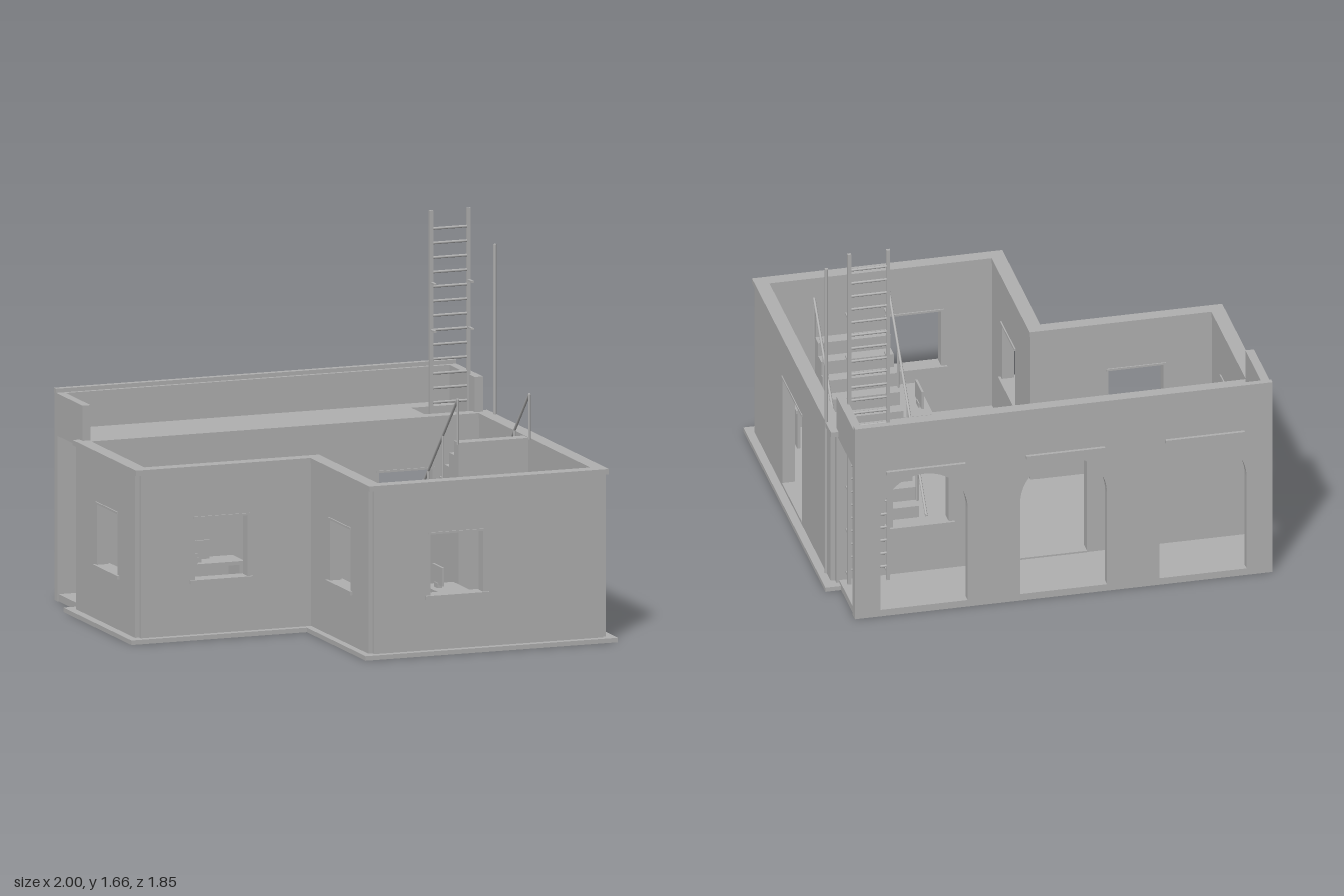
import * as THREE from 'three';

const T = 0.055; // wall thickness
const plaster = new THREE.MeshStandardMaterial({ color: 0xb0b0b0 });
plaster.name = 'grey plaster';

function add(parent, name, geo) {
  const m = new THREE.Mesh(geo, plaster);
  m.name = name;
  parent.add(m);
  return m;
}

// Box given by its limits on each axis
function box(parent, name, x0, x1, y0, y1, z0, z1) {
  const m = add(parent, name, new THREE.BoxGeometry(x1 - x0, y1 - y0, z1 - z0));
  m.position.set((x0 + x1) / 2, (y0 + y1) / 2, (z0 + z1) / 2);
  return m;
}

// Round bar between two points
function bar(parent, name, a, b, r) {
  const p = new THREE.Vector3(...a), q = new THREE.Vector3(...b);
  const d = q.clone().sub(p);
  const m = add(parent, name, new THREE.CylinderGeometry(r, r, d.length(), 8));
  m.position.copy(p).add(q).multiplyScalar(0.5);
  m.quaternion.setFromUnitVectors(new THREE.Vector3(0, 1, 0), d.normalize());
  return m;
}

const poly = (pts, Kind = THREE.Shape) => new Kind(pts.map(p => new THREE.Vector2(...p)));
const rect = (x0, x1, y0, y1) => [[x0, y0], [x1, y0], [x1, y1], [x0, y1]];
const extrude = (shape, depth) =>
  new THREE.ExtrudeGeometry(shape, { depth, bevelEnabled: false, curveSegments: 16 });

// Flat plan shape (drawn with y = -z) raised from y0 to y1
function slab(parent, name, shape, y0, y1) {
  const m = add(parent, name, extrude(shape, y1 - y0).rotateX(-Math.PI / 2));
  m.position.y = y0;
  return m;
}

// L-shaped plan
const planL = (xl, xr, xn, zb, zn, zf) =>
  [[xl, -zn], [xn, -zn], [xn, -zf], [xr, -zf], [xr, -zb], [xl, -zb]];

// Wall panel along u with windows and doors, plus sills and lintels
function wall(parent, name, u0, u1, windows, doors) {
  const g = new THREE.Group();
  g.name = name;
  const s = poly(rect(u0, u1, 0.02, 0.742));
  for (const [a, b] of windows) {
    s.holes.push(poly(rect(a, b, 0.262, 0.535), THREE.Path));
    box(g, 'windowSill', a - 0.025, b + 0.025, 0.245, 0.262, -0.012, T + 0.012);
    box(g, 'windowLintel', a - 0.01, b + 0.01, 0.533, 0.542, -0.006, T + 0.006);
  }
  for (const [a, b] of doors) {
    s.holes.push(poly(rect(a, b, 0.037, 0.56), THREE.Path));
    box(g, 'doorLintel', a - 0.01, b + 0.01, 0.557, 0.566, -0.004, T + 0.004);
    box(g, 'doorThreshold', a, b, 0.03, 0.04, -0.003, T + 0.003);
  }
  add(g, 'wallPanel', extrude(s, T));
  parent.add(g);
  return g;
}

function wallX(parent, name, z0, ...rest) {
  wall(parent, name, ...rest).position.z = z0;
}
function wallZ(parent, name, xMax, ...rest) {
  const g = wall(parent, name, ...rest);
  g.rotation.y = -Math.PI / 2;
  g.position.x = xMax;
}

function buildHouse(root) {
  slab(root, 'baseSlab', poly(planL(-1, 1, -0.18, -0.603, 0.215, 0.923)), 0, 0.02);
  slab(root, 'floor', poly(planL(-0.943, 0.943, -0.13, -0.55, 0.165, 0.872)), 0.02, 0.037);

  wallX(root, 'frontWall', 0.836, -0.128, 0.943, [[0.135, 0.38]], []);
  wallX(root, 'wingFrontWall', 0.128, -0.943, -0.12, [[-0.69, -0.445]], []);
  wallX(root, 'backWall', -0.57, -0.943, 0.943, [[0.44, 0.69]], [[-0.18, 0.175]]);
  wallZ(root, 'rightWall', 0.963, -0.545, 0.872, [], [[-0.01, 0.347]]);
  wallZ(root, 'leftWall', -0.908, -0.545, 0.163, [[-0.295, -0.05]], []);
  wallZ(root, 'notchWall', -0.093, 0.13, 0.872, [[0.41, 0.655]], []);

  const coping = poly(planL(-0.968, 0.968, -0.153, -0.573, 0.188, 0.896));
  coping.holes.push(poly(planL(-0.905, 0.905, -0.09, -0.514, 0.127, 0.833), THREE.Path));
  slab(root, 'coping', coping, 0.742, 0.766);
}

function buildPorch(root) {
  const porch = new THREE.Group();
  porch.name = 'porch';
  root.add(porch);
  box(porch, 'porchFloor', -0.93, 0.93, 0, 0.032, -0.876, -0.56);

  // Arcade with three round arches
  const s = poly(rect(-0.935, 0.935, 0, 0.922));
  for (const cx of [-0.625, 0, 0.625]) {
    const r = 0.195, h = new THREE.Path();
    h.moveTo(cx - r, 0.032);
    h.lineTo(cx + r, 0.032);
    h.lineTo(cx + r, 0.485);
    h.absarc(cx, 0.485, r, 0, Math.PI, false);
    h.lineTo(cx - r, 0.032);
    s.holes.push(h);
    box(porch, 'wallBar', cx - 0.177, cx + 0.177, 0.715, 0.73, -0.923, -0.908);
  }
  add(porch, 'arcade', extrude(s, 0.04)).position.z = -0.88;
  box(porch, 'arcadeCoping', -0.935, 0.935, 0.92, 0.94, -0.886, -0.858);

  // Roof with a hatch for the ladder
  const roof = poly(rect(-0.93, 0.93, 0.565, 0.86));
  roof.holes.push(poly(rect(0.68, 0.897, 0.575, 0.743), THREE.Path));
  slab(porch, 'porchRoof', roof, 0.734, 0.764);
  for (const sx of [-1, 1]) {
    const m = box(porch, 'sideParapet', 0.897, 0.935, 0.734, 0.922, -0.879, -0.539);
    m.position.x *= sx;
  }
}

function buildLadder(root) {
  const g = new THREE.Group();
  g.name = 'ladder';
  root.add(g);
  for (const x of [0.722, 0.896]) {
    box(g, 'ladderRail', x - 0.008, x + 0.008, 0.03, 1.66, -0.62, -0.606);
    for (const y of [0.07, 0.28, 0.49, 0.71, 1.13, 1.34])
      box(g, 'ladderBracket', x - 0.006, x + 0.006, y - 0.004, y + 0.004, -0.613, -0.56);
  }
  for (let y = 0.1; y < 1.62; y += 0.0643)
    bar(g, 'rung', [0.722, y, -0.613], [0.896, y, -0.613], 0.006);
  bar(root, 'mast', [0.963, 0.02, -0.467], [0.963, 1.52, -0.467], 0.008);
}

function buildStairs(root) {
  const g = new THREE.Group();
  g.name = 'stairs';
  root.add(g);
  const n = 12, z0 = -0.455, run = 0.0585, y0 = 0.037, rise = 0.0633;
  const pts = [[z0, y0]];
  for (let i = 0; i < n; i++)
    pts.push([z0 + i * run, y0 + (i + 1) * rise], [z0 + (i + 1) * run, y0 + (i + 1) * rise]);
  pts.push([z0 + n * run, y0]);
  const steps = add(g, 'steps', extrude(poly(pts), 0.325));
  steps.rotation.y = -Math.PI / 2;
  steps.position.x = 0.842;

  // Handrails on both sides
  const railY = z => 0.99 + (z - 0.247) * 1.075;
  for (const x of [0.512, 0.846]) {
    bar(g, 'handrail', [x, railY(-0.45), -0.45], [x, 0.99, 0.247], 0.006);
    for (const z of [0.247, 0.07, -0.105, -0.28, -0.45])
      bar(g, 'railPost', [x, railY(z) - 0.2, z], [x, railY(z), z], 0.006);
  }
}

// Desk with a screen; length along x before turning
function desk(root, x, z, turn, screenU, screenV) {
  const g = new THREE.Group();
  g.name = 'desk';
  box(g, 'deskTop', -0.152, 0.152, 0.212, 0.228, -0.074, 0.074);
  box(g, 'deskDrawers', -0.145, -0.075, 0.037, 0.212, -0.066, 0.066);
  box(g, 'deskSide', 0.13, 0.145, 0.037, 0.212, -0.066, 0.066);
  box(g, 'screenStand', screenU - 0.02, screenU + 0.02, 0.228, 0.25, screenV - 0.01, screenV + 0.01);
  box(g, 'screen', screenU - 0.06, screenU + 0.06, 0.242, 0.325, screenV - 0.005, screenV + 0.005);
  g.position.set(x, 0, z);
  g.rotation.y = turn;
  root.add(g);
}

function buildFurniture(root) {
  desk(root, -0.417, -0.387, 0, -0.058, 0.032);
  desk(root, 0.332, 0.62, -Math.PI / 2, -0.058, 0.034);
  desk(root, 0.68, 0.713, 0, -0.058, 0.032);

  const chair = new THREE.Group();
  chair.name = 'chair';
  box(chair, 'seat', -0.705, -0.567, 0.15, 0.17, -0.1, 0.02);
  box(chair, 'seatBack', -0.7, -0.572, 0.17, 0.32, -0.105, -0.093);
  for (const x of [-0.705, -0.581])
    for (const z of [-0.1, 0.006])
      box(chair, 'chairLeg', x, x + 0.014, 0.037, 0.15, z, z + 0.014);
  root.add(chair);
}

export function createModel() {
  const root = new THREE.Group();
  root.name = 'courtyardHouse';
  buildHouse(root);
  buildPorch(root);
  buildLadder(root);
  buildStairs(root);
  buildFurniture(root);
  return root;
}
